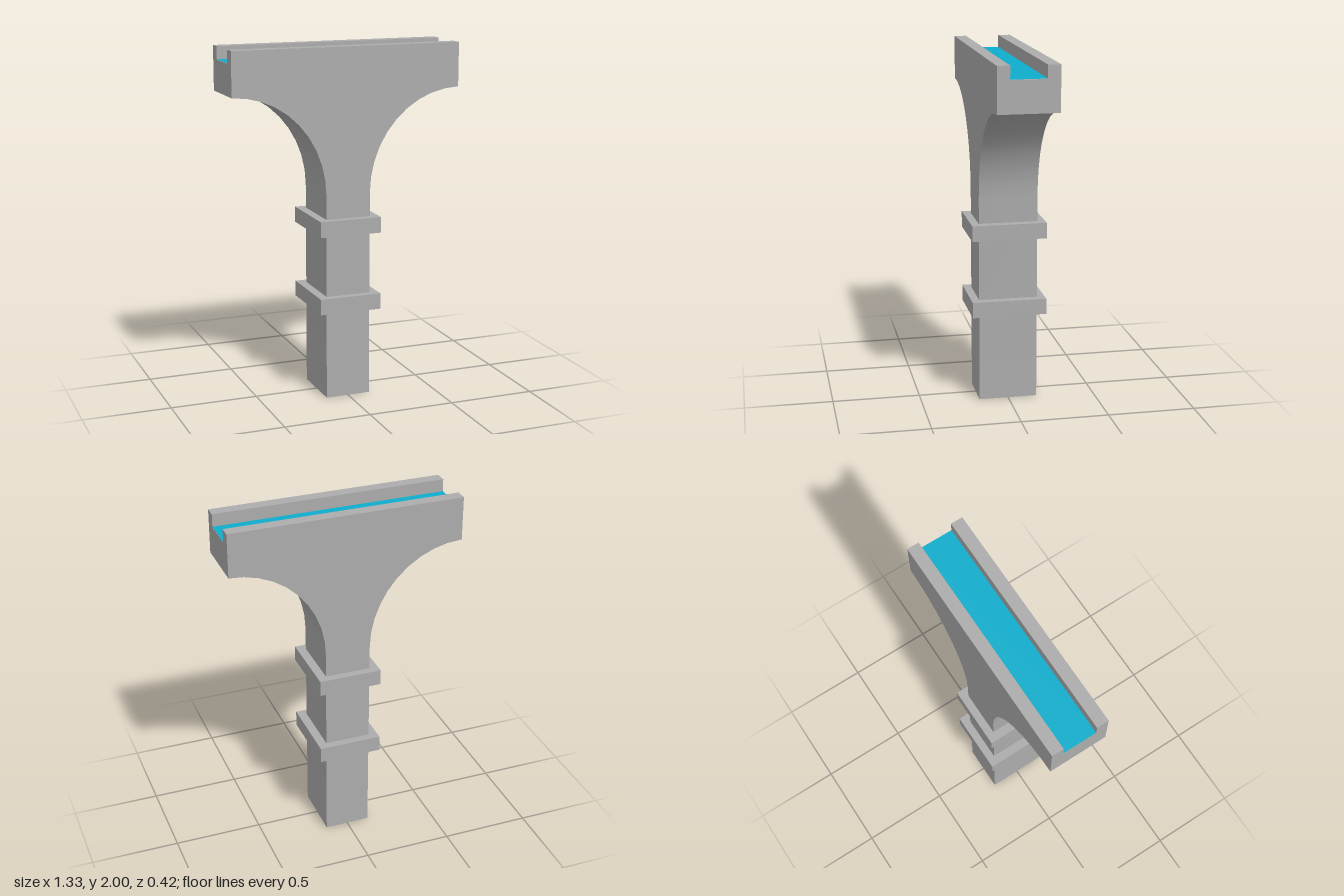
import * as THREE from 'three';
import { toCreasedNormals } from 'three/addons/utils/BufferGeometryUtils.js';

export function createModel() {
  const model = new THREE.Group();
  const concrete = new THREE.MeshStandardMaterial({ color: 0xacacac });
  concrete.name = 'concrete grey';
  const water = new THREE.MeshStandardMaterial({ color: 0x0eadcc });
  water.name = 'water blue';

  const halfSpan = 0.665, halfPier = 0.13, halfDepth = 0.167;
  const halfChannel = 0.098, floorY = 1.927, topY = 2;
  const springY = 1.18, crownY = 1.75;

  const add = (name, geometry, material, x, y, z) => {
    const mesh = new THREE.Mesh(geometry, material);
    mesh.name = name;
    mesh.position.set(x, y, z);
    model.add(mesh);
  };

  // Pier flaring through two quarter arches into the deck
  const rx = halfSpan - halfPier, ry = crownY - springY, steps = 10;
  const arch = [];
  for (let i = 0; i <= steps; i++) {
    const a = (i / steps) * Math.PI / 2;
    arch.push([halfSpan - rx * Math.cos(a), springY + ry * Math.sin(a)]);
  }
  const right = [[halfPier, 0], ...arch, [halfSpan, floorY]];
  const left = right.map(([x, y]) => [-x, y]).reverse();
  const outline = [...right, ...left].map(([x, y]) => new THREE.Vector2(x, y));
  const body = new THREE.ExtrudeGeometry(new THREE.Shape(outline), {
    depth: 2 * halfDepth, bevelEnabled: false,
  });
  body.translate(0, 0, -halfDepth);
  add('pierAndDeck', toCreasedNormals(body, Math.PI / 6), concrete, 0, 0, 0);

  // Parapet walls on both sides of the channel
  const wall = halfDepth - halfChannel;
  for (const side of [1, -1]) {
    add(side > 0 ? 'frontParapet' : 'backParapet',
      new THREE.BoxGeometry(2 * halfSpan, topY - floorY, wall), concrete,
      0, (topY + floorY) / 2, side * (halfChannel + wall / 2));
  }

  // Water surface on the channel floor
  const surface = new THREE.PlaneGeometry(2 * halfSpan, 2 * halfChannel).rotateX(-Math.PI / 2);
  add('waterSurface', surface, water, 0, floorY + 0.002, 0);

  // Collars around the pier
  [['lowerCollar', 0.555], ['upperCollar', 1.0]].forEach(([name, y]) => {
    add(name, new THREE.BoxGeometry(0.36, 0.09, 0.424), concrete, 0, y, 0);
  });

  return model;
}
